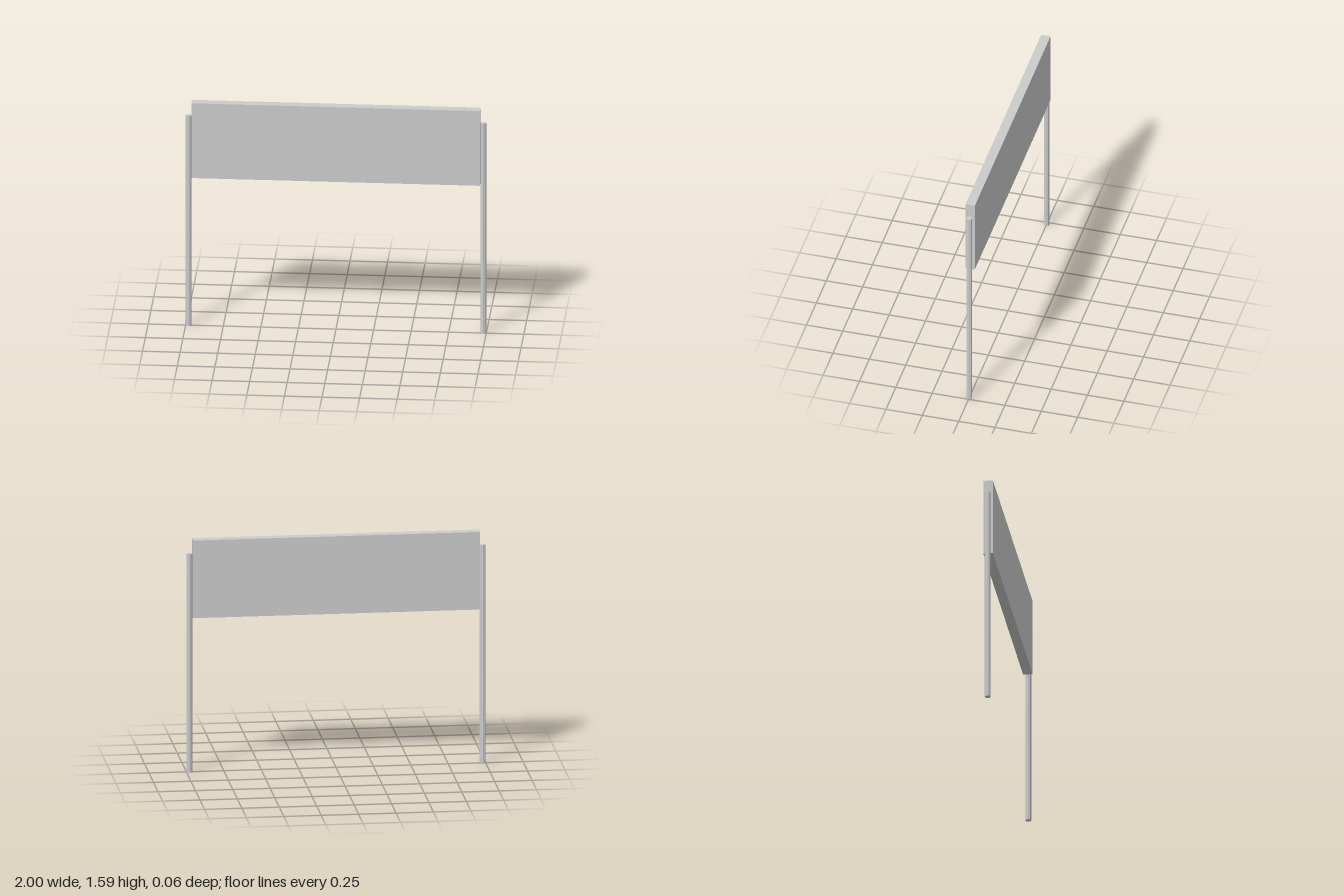
import * as THREE from 'three';

const material = new THREE.MeshStandardMaterial({ color: 0xcccccc, flatShading: true });

export function createModel() {
  const model = new THREE.Group();
  model.name = 'billboard';

  // Sign board held between the posts
  const bottom = 1.06, top = 1.592;
  const board = new THREE.Mesh(new THREE.BoxGeometry(1.92, top - bottom, 0.064), material);
  board.name = 'signBoard';
  board.position.y = (bottom + top) / 2;
  model.add(board);

  // Slim faceted posts, touching the ends of the board
  const radius = 0.02, height = 1.497;
  const postGeometry = new THREE.CylinderGeometry(radius, radius, height, 8);
  for (const [name, side] of [['leftPost', 1], ['rightPost', -1]]) {
    const post = new THREE.Mesh(postGeometry, material);
    post.name = name;
    post.position.set(side * (1 - radius), height / 2, 0);
    model.add(post);
  }

  return model;
}
